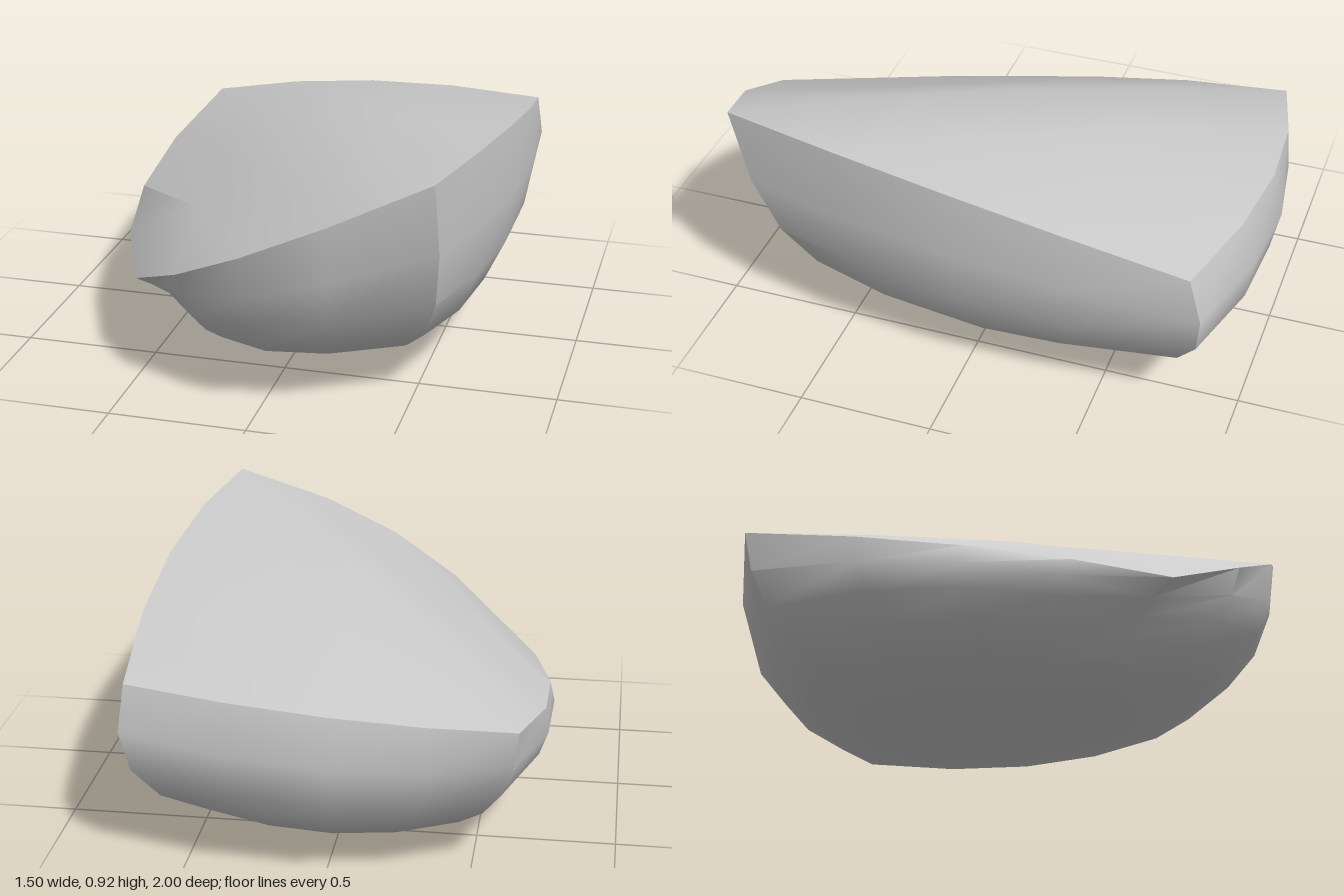
import * as THREE from 'three';
import { mergeGeometries, mergeVertices, toCreasedNormals } from 'three/addons/utils/BufferGeometryUtils.js';

// Cage of the boulder: three layers (bottom, waist, rim), rows run back to front, columns from -x to +x
const CAGE = [
  [[[-0.44, 0.10, -0.60], [0, 0.07, -0.69], [0.47, 0.11, -0.64]],
   [[-0.53, 0.10, 0], [-0.02, 0, -0.02], [0.51, 0.08, -0.02]],
   [[-0.36, 0.13, 0.40], [-0.02, 0.15, 0.68], [0.45, 0.145, 0.50]]],
  [[[-0.60, 0.31, -0.79], [-0.03, 0.31, -0.97], [0.68, 0.36, -0.87]],
   [[-0.72, 0.28, -0.06], null, [0.72, 0.38, 0]],
   [[-0.44, 0.25, 0.50], [-0.02, 0.35, 0.92], [0.60, 0.42, 0.73]]],
  [[[-0.66, 0.585, -0.87], [-0.02, 0.645, -0.965], [0.70, 0.67, -0.84]],
   [[-0.73, 0.435, -0.06], [-0.02, 0.81, 0], [0.73, 0.845, 0.03]],
   [[-0.51, 0.365, 0.65], [-0.02, 0.635, 0.99], [0.62, 0.92, 0.89]]],
];

// Heights inside the rim, back to front: a ridge runs from the back right to the front left corner
const CROWN = [
  [0.69, 0.745, 0.78],
  [0.63, 0.81, 0.835],
  [0.57, 0.715, 0.88],
];

// Each side picks its cage points from column i (along u) and row j (along v)
const SIDES = {
  top: (i, j) => CAGE[2][i][j],
  bottom: (i, j) => CAGE[0][j][i],
  front: (i, j) => CAGE[j][2][i],
  back: (i, j) => CAGE[j][0][2 - i],
  left: (i, j) => CAGE[j][2 - i][2],
  right: (i, j) => CAGE[j][i][0],
};

// Weights of a parabola through three points at t = 0, 0.5 and 1
const weights = (t) => [(1 - t) * (1 - 2 * t), 4 * t * (1 - t), t * (2 * t - 1)];

// Bend a 4 x 4 plane onto the curved patch of one side
function patch(pick) {
  const g = new THREE.PlaneGeometry(1, 1, 4, 4);
  const pos = g.attributes.position;
  const p = new THREE.Vector3();
  for (let k = 0; k < pos.count; k++) {
    const wu = weights(pos.getX(k) + 0.5);
    const wv = weights(pos.getY(k) + 0.5);
    p.set(0, 0, 0);
    for (let i = 0; i < 3; i++) {
      for (let j = 0; j < 3; j++) {
        p.addScaledVector(new THREE.Vector3(...pick(i, j)), wu[i] * wv[j]);
      }
    }
    pos.setXYZ(k, p.x, p.y, p.z);
  }
  g.deleteAttribute('uv');
  g.deleteAttribute('normal');
  return g;
}

export function createModel() {
  const group = new THREE.Group();
  group.name = 'boulder';

  const patches = Object.values(SIDES).map(patch);

  // Fold the top along its ridge (u runs to the front, v to +x)
  const top = patches[0].attributes.position;
  CROWN.forEach((row, r) => row.forEach((y, c) => top.setY((3 - c) * 5 + r + 1, y)));

  // Weld the six sides, smooth the rounded flanks and keep the rim sharp
  const welded = mergeVertices(mergeGeometries(patches), 1e-4);
  const rock = new THREE.Mesh(
    toCreasedNormals(welded, THREE.MathUtils.degToRad(46)),
    new THREE.MeshStandardMaterial({ color: 0xcccccc })
  );
  rock.name = 'rock';
  group.add(rock);
  return group;
}
